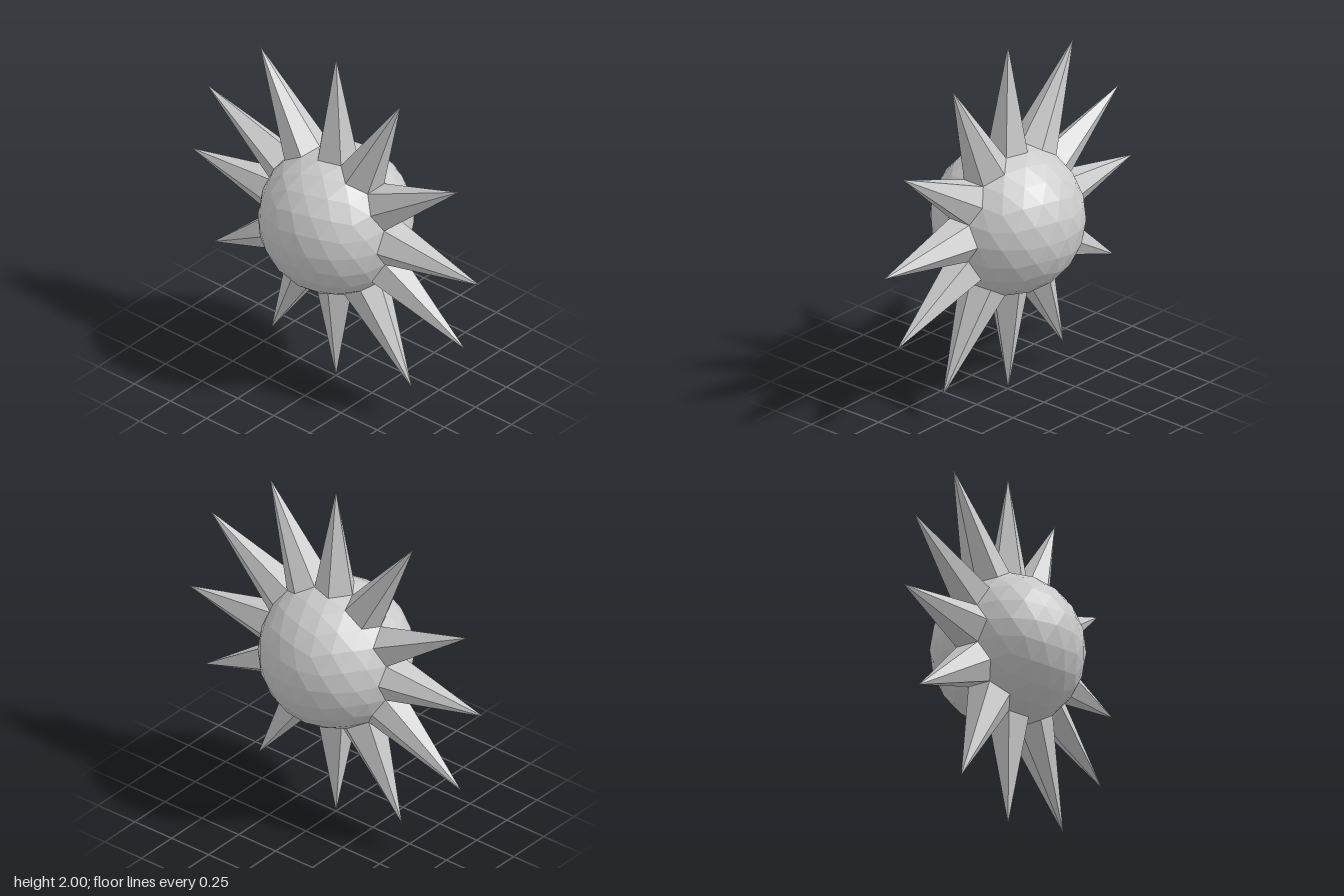
import * as THREE from 'three';

const CORE_RADIUS = 0.412;
const TIP_RADIUS = 1;

// Icosphere from two rounds of splitting, turned so one corner points straight up
function icosphere() {
  const once = new THREE.IcosahedronGeometry(1, 1);
  const corners = Array.from(once.attributes.position.array);
  const faces = corners.slice(0, corners.length / 3).map((_, i) => i);
  const sphere = new THREE.PolyhedronGeometry(corners, faces, 1, 1);
  const golden = (1 + Math.sqrt(5)) / 2;
  return sphere.rotateZ(Math.atan(1 / golden));
}

// Twelve spike directions in the upright plane: three per quarter turn
function spikeDirections() {
  const list = [];
  for (let quarter = 0; quarter < 4; quarter++) {
    for (const degrees of [0, 31.72, 63.43]) {
      const a = THREE.MathUtils.degToRad(degrees + quarter * 90);
      list.push(new THREE.Vector3(Math.cos(a), Math.sin(a), 0));
    }
  }
  return list;
}

function facetedMesh(name, points, material) {
  const geometry = new THREE.BufferGeometry().setFromPoints(points);
  geometry.computeVertexNormals();
  const mesh = new THREE.Mesh(geometry, material);
  mesh.name = name;
  return mesh;
}

export function createModel() {
  const model = new THREE.Group();
  model.name = 'spikedBall';
  const material = new THREE.MeshStandardMaterial({ color: 0xcccccc, flatShading: true });

  const directions = spikeDirections();
  const corePoints = [];
  const spikePoints = directions.map(() => []);
  const position = icosphere().attributes.position;

  // Sort each facet into the core or the spike whose tip it touches
  for (let i = 0; i < position.count; i += 3) {
    let target = corePoints;
    const triangle = [0, 1, 2].map((k) => {
      const p = new THREE.Vector3().fromBufferAttribute(position, i + k).normalize();
      const spike = directions.findIndex((d) => d.dot(p) > 0.999);
      if (spike >= 0) target = spikePoints[spike];
      return p.multiplyScalar(spike >= 0 ? TIP_RADIUS : CORE_RADIUS);
    });
    target.push(...triangle);
  }

  model.add(facetedMesh('core', corePoints, material));
  spikePoints.forEach((points, i) => model.add(facetedMesh(`spike${i + 1}`, points, material)));

  // Lift so the lowest tip touches the ground
  model.children.forEach((part) => { part.position.y = TIP_RADIUS; });
  return model;
}
